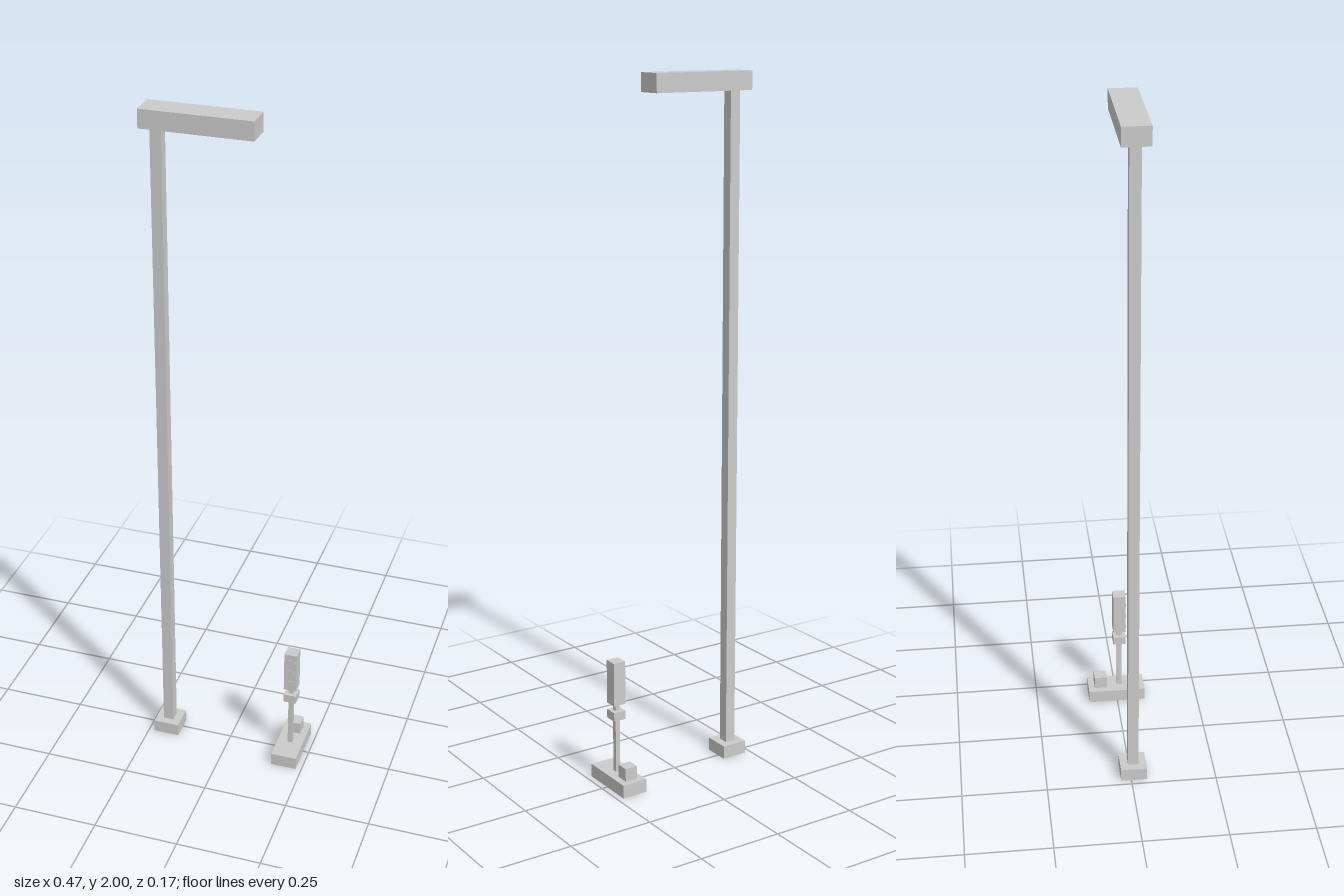
import * as THREE from 'three';

export function createModel() {
  const model = new THREE.Group();
  const material = new THREE.MeshStandardMaterial({ color: 0xcccccc, flatShading: true });

  // Box resting on height y0 and reaching y1
  function box(parent, name, width, depth, y0, y1, x, z) {
    const mesh = new THREE.Mesh(new THREE.BoxGeometry(width, y1 - y0, depth), material);
    mesh.name = name;
    mesh.position.set(x, (y0 + y1) / 2, z);
    parent.add(mesh);
  }

  // Tall street lamp with an arm reaching toward +x
  const lamp = new THREE.Group();
  lamp.name = 'streetLamp';
  box(lamp, 'lampBase', 0.077, 0.077, 0, 0.039, -0.194, 0.008);
  box(lamp, 'lampPole', 0.031, 0.031, 0.039, 1.948, -0.194, 0.008);
  box(lamp, 'lampHead', 0.31, 0.077, 1.948, 2, -0.078, 0.008);

  // Small traffic signal on its own foot
  const signal = new THREE.Group();
  signal.name = 'trafficSignal';
  const sx = 0.194, sz = 0.009;
  box(signal, 'signalBase', 0.077, 0.174, 0, 0.039, sx, -0.001);
  box(signal, 'controlBox', 0.038, 0.038, 0.039, 0.077, sx, -0.05);
  box(signal, 'signalPost', 0.014, 0.014, 0.039, 0.246, sx, sz);
  box(signal, 'buttonBox', 0.038, 0.038, 0.2, 0.226, sx, sz);
  box(signal, 'signalHead', 0.038, 0.038, 0.246, 0.375, sx, sz);

  // Three round lenses on the front of the head
  const lensGeometry = new THREE.CylinderGeometry(0.016, 0.016, 0.003, 16).rotateX(Math.PI / 2);
  for (let i = 0; i < 3; i++) {
    const lens = new THREE.Mesh(lensGeometry, material);
    lens.name = 'signalLens' + (i + 1);
    lens.position.set(sx, 0.264 + i * 0.039, sz + 0.0185);
    signal.add(lens);
  }

  model.add(lamp, signal);
  return model;
}
